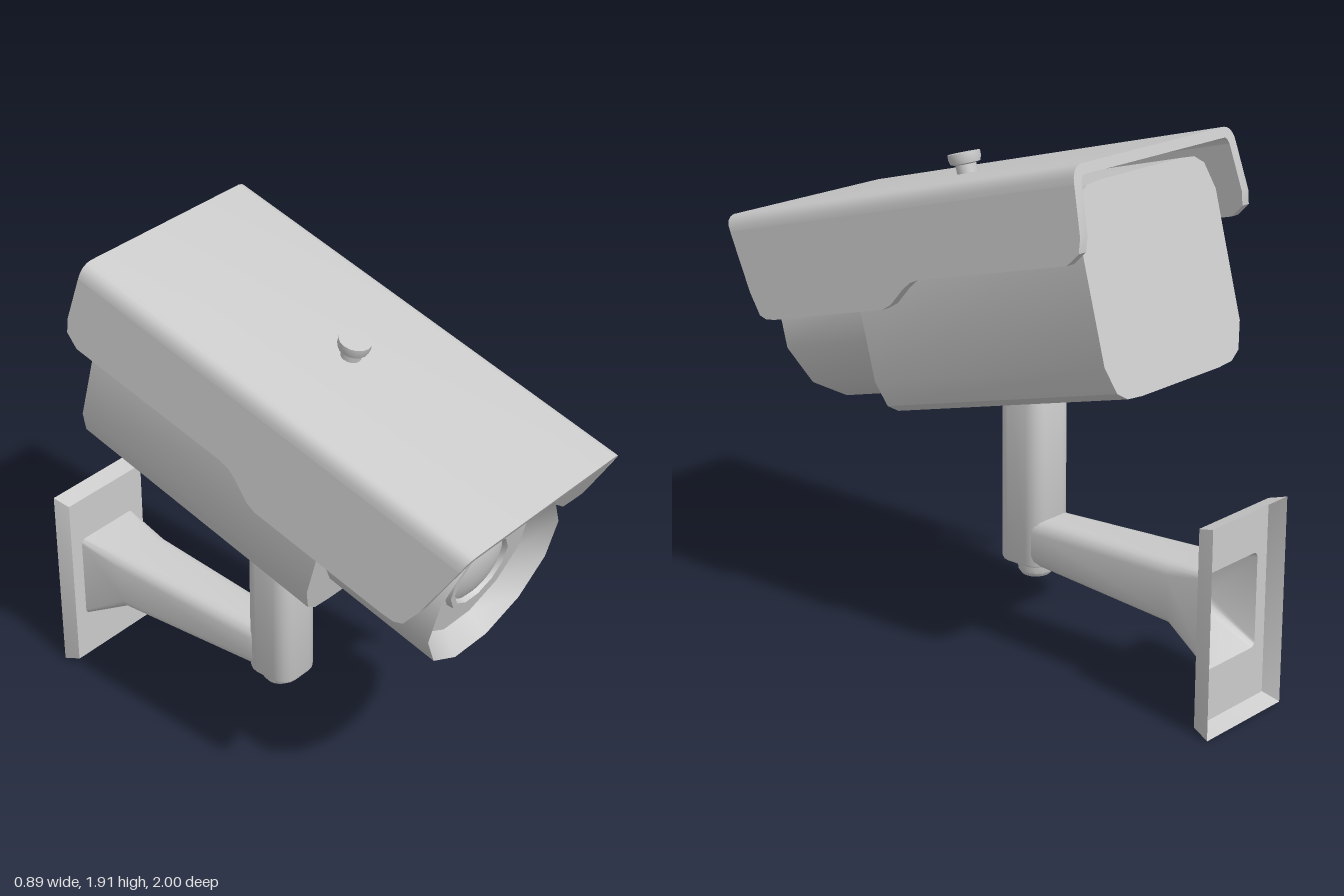
import * as THREE from 'three';
import { toCreasedNormals } from 'three/addons/utils/BufferGeometryUtils.js';

const material = new THREE.MeshStandardMaterial({ color: 0xcccccc, side: THREE.DoubleSide });
const TILT = Math.PI / 12;

function part(name, geometry, crease = 0.6) {
  const mesh = new THREE.Mesh(toCreasedNormals(geometry, crease), material);
  mesh.name = name;
  return mesh;
}

const toShape = (pts) => new THREE.Shape(pts.map(([x, y]) => new THREE.Vector2(x, y)));

// Rounded rectangle outline, counter-clockwise, always the same point count
function roundedRect(cx, cy, hw, hh, r, steps = 3) {
  const pts = [];
  [[1, 1], [-1, 1], [-1, -1], [1, -1]].forEach(([sx, sy], q) => {
    for (let k = 0; k <= steps; k++) {
      const a = (q + k / steps) * Math.PI / 2;
      pts.push([cx + sx * (hw - r) + r * Math.cos(a), cy + sy * (hh - r) + r * Math.sin(a)]);
    }
  });
  return pts;
}

// Open skin through a list of { z, pts } cross-sections
function loft(sections) {
  const n = sections[0].pts.length, pos = [], idx = [];
  sections.forEach(({ z, pts }) => pts.forEach(([x, y]) => pos.push(x, y, z)));
  for (let i = 0; i < sections.length - 1; i++) {
    for (let j = 0; j < n; j++) {
      const a = i * n + j, b = i * n + (j + 1) % n;
      idx.push(a, b, b + n, a, b + n, a + n);
    }
  }
  const g = new THREE.BufferGeometry();
  g.setAttribute('position', new THREE.Float32BufferAttribute(pos, 3));
  g.setIndex(idx);
  return g;
}

function lathe(profile, segments, phi = 0) {
  return new THREE.LatheGeometry(profile.map(([r, h]) => new THREE.Vector2(r, h)), segments, phi);
}

function moveVertices(geometry, rule) {
  const p = geometry.attributes.position;
  for (let i = 0; i < p.count; i++) p.setXYZ(i, ...rule(p.getX(i), p.getY(i), p.getZ(i)));
  return geometry;
}

// Sunshield: rounded roof plus two flared side panels with a stepped lower edge
function makeSunshield() {
  const group = new THREE.Group();
  group.name = 'sunshield';
  const top = 1.688, join = 1.63, back = -1.092, front = 0.583, t = 0.035;
  const flare = (y) => 0.408 + (join - y) * 0.118;

  const half = [[0.408, join], [0.404, 1.652], [0.393, 1.672], [0.378, 1.683], [0.36, top]];
  const inner = [[0.355, top - t], [0.366, 1.646], [0.408 - t, join]];
  const mirror = (pts) => pts.map(([x, y]) => [-x, y]).reverse();
  const roof = new THREE.ExtrudeGeometry(
    toShape([...half, ...mirror(half), ...mirror(inner), ...inner]),
    { depth: 1, bevelEnabled: false });
  moveVertices(roof, (x, y, z) =>
    [x, y, z < 0.5 ? back : front - 0.315 * (top - y)]);
  group.add(part('sunshieldRoof', roof));

  // Side outline as [z, y]
  const outline = toShape([
    [back, join], [back, 1.467], [-1.079, 1.419], [-1.024, 1.387],
    [-0.36, 1.392], [-0.32, 1.386], [-0.284, 1.368], [-0.215, 1.32], [-0.174, 1.308],
    [0.38, 1.308], [0.425, 1.312], [0.457, 1.329], [0.496, 1.412], [0.565, join],
  ]);
  for (const side of [1, -1]) {
    const panel = new THREE.ExtrudeGeometry(outline, { depth: t, bevelEnabled: false });
    moveVertices(panel, (w, y, d) =>
      [side > 0 ? flare(y) - d : t - flare(y) - d, y, w]);
    group.add(part(side > 0 ? 'sunshieldLeftPanel' : 'sunshieldRightPanel', panel, 0.4));
  }
  return group;
}

function makeHead() {
  const head = new THREE.Group();
  head.name = 'cameraHead';
  const axisY = 1.269;

  // Housing with softened corners
  const corner = [[0.35, 0.223], [0.315, 0.316], [0.27, 0.344], [0.2, 0.35]];
  const upper = [...corner, ...corner.map(([x, y]) => [-x, y]).reverse()];
  const outline = [...upper, ...upper.map(([x, y]) => [-x, -y])];
  const housing = new THREE.ExtrudeGeometry(toShape(outline), { depth: 1.06, bevelEnabled: false });
  housing.translate(0, axisY, -1.02);
  head.add(part('housing', housing, 0.45));

  // Twelve-sided barrel with a recessed face and lens ring
  const barrel = lathe([
    [0.326, -0.02], [0.326, 0.5], [0.268, 0.42], [0.156, 0.42],
    [0.152, 0.445], [0.132, 0.445], [0.126, 0.425], [0, 0.425],
  ], 12, Math.PI / 12);
  barrel.rotateX(Math.PI / 2).translate(0, axisY, 0);
  head.add(part('lensBarrel', barrel));

  const lens = lathe([[0.126, 0.426], [0.1, 0.438], [0.06, 0.448], [0, 0.452]], 24);
  lens.rotateX(Math.PI / 2).translate(0, axisY, 0);
  head.add(part('lens', lens));

  // Thumbscrew on the roof
  const screw = lathe([
    [0.036, 1.67], [0.036, 1.718], [0.052, 1.722], [0.057, 1.74], [0.057, 1.758], [0, 1.758],
  ], 16);
  screw.translate(0.01, 0, -0.258);
  head.add(part('thumbscrew', screw));

  head.add(makeSunshield());
  head.rotation.x = TILT;
  return head;
}

function makeBracket() {
  const bracket = new THREE.Group();
  bracket.name = 'wallBracket';
  const cx = -0.057;

  // Hollow wall plate, open at the back and into the arm
  const armRoot = roundedRect(cx, 0.38, 0.135, 0.172, 0.02);
  bracket.add(part('wallPlate', loft([
    { z: -1, pts: roundedRect(cx, 0.373, 0.2, 0.373, 0.002) },
    { z: -0.935, pts: roundedRect(cx, 0.375, 0.187, 0.353, 0.002) },
    { z: -0.935, pts: armRoot },
  ]), 0.5));

  // Hollow tapering arm
  bracket.add(part('arm', loft([
    { z: -0.935, pts: armRoot },
    { z: -0.75, pts: roundedRect(cx, 0.421, 0.115, 0.11, 0.04) },
    { z: -0.16, pts: roundedRect(cx, 0.422, 0.09, 0.088, 0.045) },
    { z: -0.06, pts: roundedRect(cx, 0.422, 0.085, 0.086, 0.045) },
  ])));

  // Upright post with a slightly eased lower edge
  const post = new THREE.ExtrudeGeometry(
    toShape(roundedRect(0, 0, 0.081, 0.086, 0.045, 4)),
    { depth: 0.72, bevelThickness: 0.012, bevelSize: 0.012, bevelSegments: 2 });
  post.rotateX(-Math.PI / 2).translate(cx, 0.342, -0.062);
  bracket.add(part('post', post));

  // Bolt under the post
  const bolt = lathe([[0, 0.28], [0.052, 0.28], [0.063, 0.295], [0.065, 0.345]], 16);
  bolt.translate(cx, 0, -0.072);
  bracket.add(part('bolt', bolt));
  return bracket;
}

export function createModel() {
  const model = new THREE.Group();
  model.name = 'securityCamera';
  model.add(makeHead(), makeBracket());
  return model;
}
